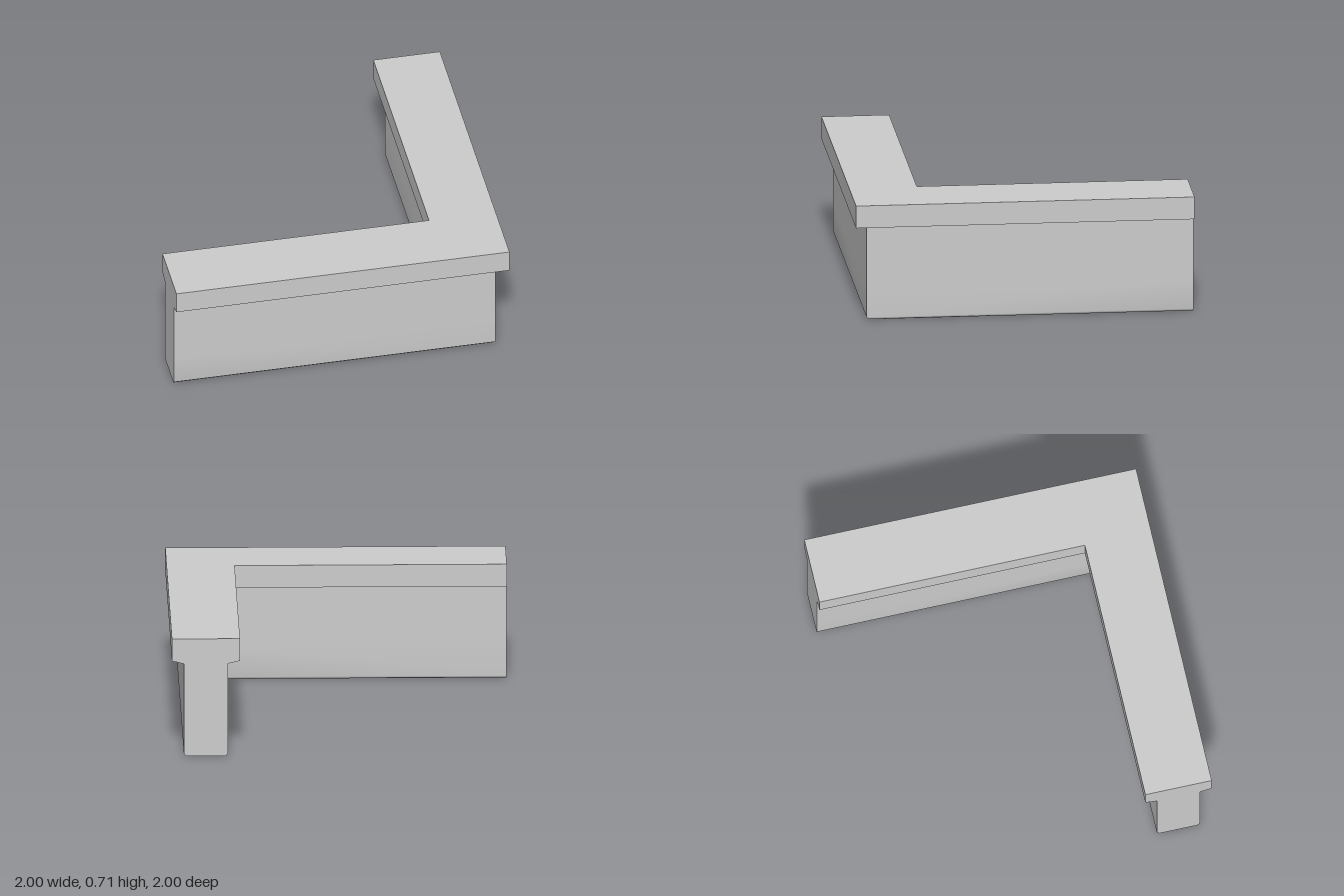
import * as THREE from 'three';

// Section outline as [distance in from the outer face, height], down the outer side and up the inner
const stem = [
  [0.07, 0.563], [0.07, 0.2], [0.07, 0.016], [0.086, 0],
  [0.314, 0], [0.33, 0.016], [0.33, 0.2], [0.33, 0.563],
];
const coping = [[0.33, 0.563], [0.4, 0.58], [0.4, 0.715], [0, 0.715], [0, 0.58], [0.07, 0.563]];

// Sweeps the outline from a free end at -1 to the 45 degree mitre at the corner
function sweep(outline, alongX, smooth) {
  const pos = [], index = [];
  for (const [d, y] of outline) {
    const c = 1 - d;
    if (alongX) pos.push(-1, y, c, c, y, c);
    else pos.push(c, y, -1, c, y, c);
  }
  for (let i = 0; i < outline.length - 1; i++) {
    const a = 2 * i, b = a + 1, c = a + 2, e = a + 3;
    if (alongX) index.push(a, c, e, a, e, b);
    else index.push(a, e, c, a, b, e);
  }
  let geo = new THREE.BufferGeometry();
  geo.setAttribute('position', new THREE.Float32BufferAttribute(pos, 3));
  geo.setIndex(index);
  if (!smooth) geo = geo.toNonIndexed();
  geo.computeVertexNormals();
  return geo;
}

// Flat face closing the free end of a leg
function endFace(alongX) {
  const side = alongX ? 1 : -1;
  const points = [...stem, ...coping.slice(1, -1)].map(([d, y]) => new THREE.Vector2(side * (1 - d), y));
  const geo = new THREE.ShapeGeometry(new THREE.Shape(points));
  return geo.translate(0, 0, 1).rotateY(alongX ? -Math.PI / 2 : Math.PI);
}

export function createModel() {
  const group = new THREE.Group();
  group.name = 'cornerParapet';
  const stone = new THREE.MeshStandardMaterial({ color: 0xcccccc });
  stone.name = 'grey stone';

  // Front leg runs along x, side leg along z
  for (const alongX of [true, false]) {
    const leg = new THREE.Group();
    leg.name = alongX ? 'frontWall' : 'sideWall';
    const add = (name, geo) => {
      const mesh = new THREE.Mesh(geo, stone);
      mesh.name = name;
      leg.add(mesh);
    };
    add('wallStem', sweep(stem, alongX, true));
    add('coping', sweep(coping, alongX, false));
    add('endFace', endFace(alongX));
    group.add(leg);
  }
  return group;
}
